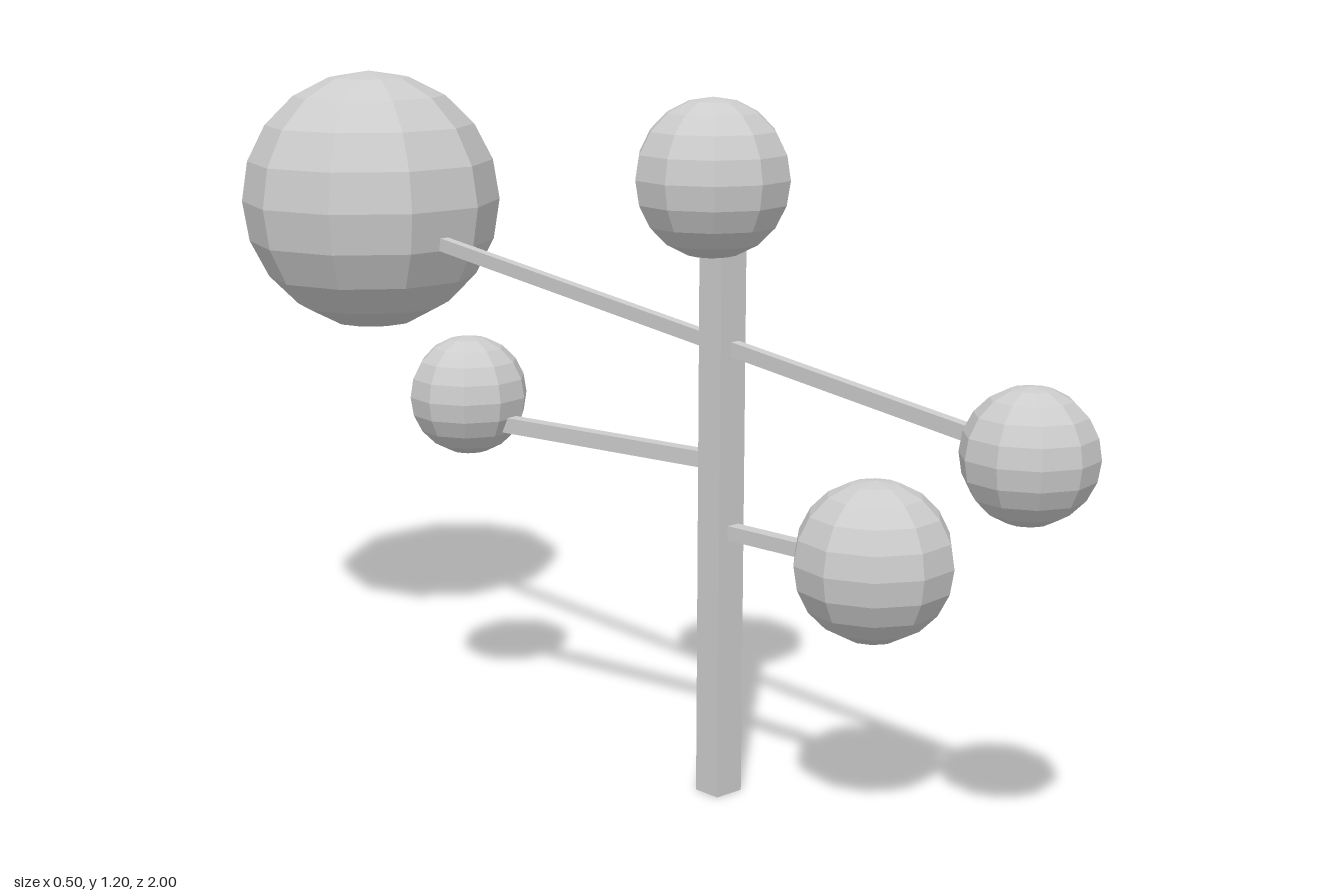
import * as THREE from 'three';

export function createModel() {
  const model = new THREE.Group();
  const grey = new THREE.MeshStandardMaterial({ color: 0xcccccc, flatShading: true });
  grey.name = 'plain grey';

  const add = (name, geometry) => {
    const mesh = new THREE.Mesh(geometry, grey);
    mesh.name = name;
    model.add(mesh);
    return mesh;
  };

  // Square bar running from one point to another
  const bar = (name, from, to, width, height) => {
    const a = new THREE.Vector3(...from);
    const b = new THREE.Vector3(...to);
    const mesh = add(name, new THREE.BoxGeometry(width, height, a.distanceTo(b)));
    mesh.position.copy(a).add(b).multiplyScalar(0.5);
    mesh.lookAt(b);
  };

  // Faceted foliage ball, turned about its upright axis
  const ball = (name, x, y, z, radius, turn) => {
    const mesh = add(name, new THREE.SphereGeometry(radius, 10, 10));
    mesh.position.set(x, y, z);
    mesh.rotation.y = turn;
  };

  // Upright trunk
  add('trunk', new THREE.BoxGeometry(0.057, 1.0, 0.053)).position.set(-0.002, 0.5, 0.24);

  // Branches
  bar('longBranch', [0.002, 0.715, 0.84], [0.002, 0.895, -0.68], 0.019, 0.025);
  bar('backBranch', [0.005, 0.585, 0.24], [-0.085, 0.585, -0.29], 0.025, 0.028);
  bar('frontBranch', [0, 0.468, 0.24], [0.016, 0.468, 0.53], 0.025, 0.025);

  // Foliage balls
  ball('crownBall', -0.025, 1.067, 0.238, 0.133, 0.2);
  ball('largeBackBall', 0, 0.942, -0.76, 0.252, 0);
  ball('smallBackBall', -0.098, 0.63, -0.329, 0.109, 0.2);
  ball('lowFrontBall', 0.022, 0.475, 0.57, 0.134, 0.12);
  ball('farFrontBall', 0.001, 0.707, 0.895, 0.106, 0.22);

  return model;
}
